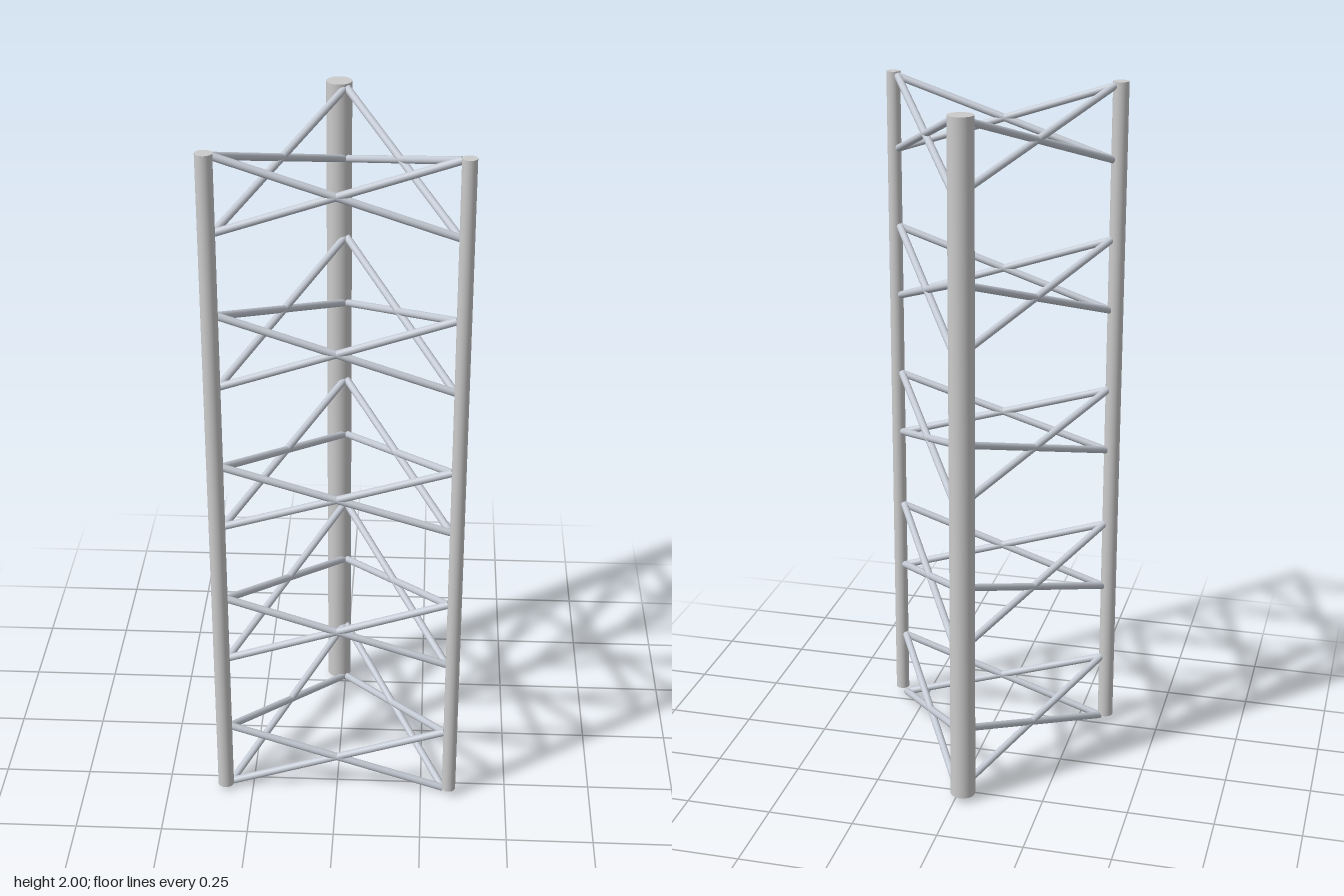
import * as THREE from 'three';

const postMaterial = new THREE.MeshStandardMaterial({ color: 0xcccccc });
const braceMaterial = new THREE.MeshStandardMaterial({ color: 0xc4cad4 });
const UP = new THREE.Vector3(0, 1, 0);

// Round rod between two points
function rod(name, a, b, radius, material, sides) {
  const dir = b.clone().sub(a);
  const mesh = new THREE.Mesh(new THREE.CylinderGeometry(radius, radius, dir.length(), sides), material);
  mesh.name = name;
  mesh.position.copy(a).add(b).multiplyScalar(0.5);
  mesh.quaternion.setFromUnitVectors(UP, dir.normalize());
  return mesh;
}

export function createModel() {
  const model = new THREE.Group();
  model.name = 'latticeTower';

  // Three upright posts of different thickness: x, z, radius, foot height
  const posts = [
    ['rightPost', -0.331, 0.295, 0.023, 0.012],
    ['leftPost', 0.333, 0.299, 0.02, 0.022],
    ['backPost', -0.02, -0.284, 0.036, 0.017],
  ];
  for (const [name, x, z, r, foot] of posts) {
    model.add(rod(name, new THREE.Vector3(x, foot, z), new THREE.Vector3(x, 2, z), r, postMaterial, 48));
  }

  // Where the braces meet the posts, seen from above
  const corners = [[-0.315, 0.282], [0.315, 0.284], [0, -0.268]];
  // Bottom and top of each braced tier
  const tiers = [[0.01, 0.215], [0.458, 0.663], [0.903, 1.092], [1.338, 1.547], [1.78, 1.988]];
  const faces = ['front', 'left', 'right'];

  // Crossed pair of rods on each face of every tier
  tiers.forEach(([low, high], t) => {
    const tier = new THREE.Group();
    tier.name = `braceTier${t + 1}`;
    faces.forEach((face, i) => {
      const [ax, az] = corners[i];
      const [bx, bz] = corners[(i + 1) % 3];
      for (const [y0, y1, kind] of [[low, high, 'Rising'], [high, low, 'Falling']]) {
        tier.add(rod(`${face}${kind}Brace`, new THREE.Vector3(ax, y0, az),
          new THREE.Vector3(bx, y1, bz), 0.0105, braceMaterial, 20));
      }
    });
    model.add(tier);
  });

  return model;
}
